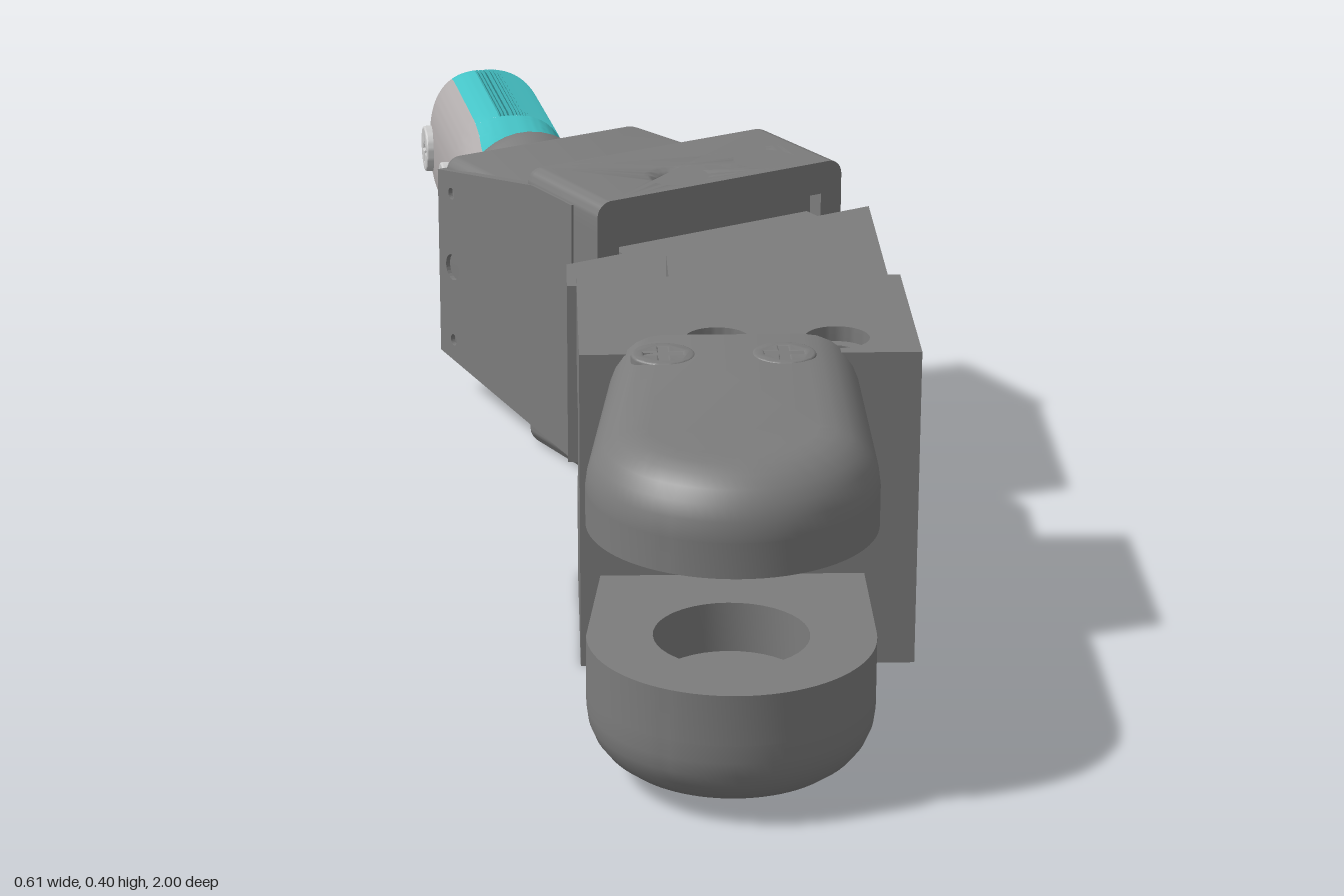
import * as THREE from 'three';
import { toCreasedNormals } from 'three/addons/utils/BufferGeometryUtils.js';
import { ParametricGeometry } from 'three/addons/geometries/ParametricGeometry.js';

const paint = (color) => new THREE.MeshStandardMaterial({ color });
const darkGrey = paint(0x7c7c7c);
const paleGrey = paint(0xb0abab);
const lightGrey = paint(0xcccccc);
const teal = paint(0x45c3c6);
const ribTeal = paint(0x3aa6a9);
const MID = 0.196; // height of the centre line

function add(parent, name, geo, mat = darkGrey) {
  const m = new THREE.Mesh(geo, mat);
  m.name = name;
  parent.add(m);
  return m;
}

// outline from [x, z] corners, rounded when r is given
function outline(pts, r = 0) {
  const p = pts.map(([x, z]) => new THREE.Vector2(x, -z));
  if (!r) return new THREE.Shape(p);
  const s = new THREE.Shape();
  p.forEach((c, i) => {
    const toward = (q) => c.clone().add(q.clone().sub(c).setLength(r));
    const a = toward(p[(i + p.length - 1) % p.length]), b = toward(p[(i + 1) % p.length]);
    if (i) s.lineTo(a.x, a.y);
    else s.moveTo(a.x, a.y);
    s.quadraticCurveTo(c.x, c.y, b.x, b.y);
  });
  return s;
}
const circle = (x, z, r) => new THREE.Shape().absarc(x, -z, r, 0, Math.PI * 2);

// horizontal slab between two heights; clip flattens any bevelled side that should stay square
function slab(shape, y0, y1, { holes = [], bevel = 0, clip = {} } = {}) {
  const s = shape.clone();
  s.holes = holes;
  const lo = clip.minY !== undefined ? y0 - 2 * bevel : y0;
  const hi = clip.maxY !== undefined ? y1 + 2 * bevel : y1;
  const g = new THREE.ExtrudeGeometry(s, {
    depth: hi - lo - 2 * bevel, curveSegments: 20, bevelEnabled: bevel > 0,
    bevelSize: bevel, bevelThickness: bevel, bevelOffset: -bevel, bevelSegments: 6,
  });
  g.rotateX(-Math.PI / 2).translate(0, lo + bevel, 0);
  const { minY = -9, maxY = 9, minZ = -9, maxZ = 9 } = clip;
  const p = g.attributes.position;
  for (let i = 0; i < p.count; i++) {
    p.setY(i, THREE.MathUtils.clamp(p.getY(i), minY, maxY));
    p.setZ(i, THREE.MathUtils.clamp(p.getZ(i), minZ, maxZ));
  }
  return toCreasedNormals(g, 0.6);
}

// round screw head with a cross recess, facing +y
function screw(name, r, mat) {
  const g = new THREE.Group();
  g.name = name;
  const a = r * 0.14, b = r * 0.6;
  const cross = outline([[-a, -b], [a, -b], [a, -a], [b, -a], [b, a], [a, a],
    [a, b], [-a, b], [-a, a], [-b, a], [-b, -a], [-a, -a]]);
  add(g, 'screwHead', slab(circle(0, 0, r), -0.012, 0.006, { holes: [cross], bevel: 0.003 }), mat);
  add(g, 'screwCore', new THREE.CylinderGeometry(r * 0.8, r * 0.8, 0.02, 20).translate(0, -0.014, 0), mat);
  return g;
}

class Helix extends THREE.Curve {
  getPoint(t, out = new THREE.Vector3()) {
    const a = t * 8.5 * Math.PI * 2;
    return out.set(0.03 * Math.cos(a), 0.03 * Math.sin(a), 0.4 - 0.29 * t);
  }
}

function buildClevis() {
  const g = new THREE.Group();
  g.name = 'clevis';
  const shape = new THREE.Shape().moveTo(-0.05, -0.48).lineTo(-0.082, -0.84);
  shape.absarc(0.075, -0.84, 0.157, Math.PI, Math.PI * 2).lineTo(0.232, -0.48);
  const pinHole = [circle(0.075, 0.84, 0.085)];
  const back = { minZ: 0.555 };
  add(g, 'lowerProng', slab(shape, 0.02, 0.105, { bevel: 0.065, clip: { ...back, maxY: 0.105 } }));
  add(g, 'lowerPinSeat', slab(shape, 0.105, 0.163, { holes: pinHole, clip: back }));
  add(g, 'upperPinSeat', slab(shape, 0.295, 0.335, { holes: pinHole, clip: back }));
  add(g, 'upperProng', slab(shape, 0.335, 0.405, { bevel: 0.065, clip: { ...back, minY: 0.335 } }));
  add(g, 'clevisWeb', slab(outline([[-0.055, 0.555], [0.232, 0.555], [0.232, 0.676], [-0.065, 0.676]]), 0.163, 0.295));
  for (const x of [0.008, 0.143]) {
    const top = screw('clevisScrew', 0.036, darkGrey), low = screw('clevisScrew', 0.036, darkGrey);
    top.position.set(x, 0.4, 0.618);
    low.position.set(x, 0.025, 0.618);
    low.rotation.x = Math.PI;
    g.add(top, low);
  }
  return g;
}

function buildFrontBlock() {
  const g = new THREE.Group();
  g.name = 'frontBlock';
  // plate with a round-ended tongue towards the back
  const plate = new THREE.Shape().moveTo(-0.085, -0.572).lineTo(0.302, -0.572).lineTo(0.302, -0.3).lineTo(0.187, -0.3);
  plate.lineTo(0.187, -0.22).absarc(0.106, -0.22, 0.081, 0, Math.PI).lineTo(0.025, -0.3).lineTo(-0.085, -0.3);
  const holes = (r) => [circle(0.073, 0.52, r), circle(0.21, 0.52, r)];
  const layers = [[0.005, 0.025, 0.037], [0.025, 0.134, 0.022], [0.257, 0.37, 0.022], [0.37, 0.388, 0.037]];
  for (const [y0, y1, r] of layers) add(g, 'blockPlate', slab(plate, y0, y1, { holes: holes(r) }));
  // solid part in front of the spring slot, and the tongue behind it
  add(g, 'blockCore', slab(outline([[-0.085, 0.4], [0.302, 0.4], [0.302, 0.572], [-0.085, 0.572]]), 0.134, 0.257, { holes: holes(0.022) }));
  const tongue = new THREE.Shape().moveTo(0.187, -0.29).lineTo(0.187, -0.22);
  tongue.absarc(0.106, -0.22, 0.081, 0, Math.PI).lineTo(0.025, -0.29);
  add(g, 'tongueCore', slab(tongue, 0.134, 0.257));
  add(g, 'boltPlug', new THREE.CylinderGeometry(0.022, 0.022, 0.3, 20).translate(0.073, MID, 0.52));
  return g;
}

function buildRearBody() {
  const g = new THREE.Group();
  g.name = 'rearBody';
  g.position.set(0.107, 0, -0.084);
  g.rotation.y = Math.PI / 6;
  // yoke plates with countersunk holes, above and below a core with a front pocket
  const yoke = outline([[-0.187, 0.06], [0.187, 0.06], [0.187, -0.19], [-0.187, -0.19]], 0.022);
  const holes = [circle(-0.038, -0.05, 0.022), circle(0.1, -0.05, 0.022)];
  add(g, 'yokeTop', slab(yoke, 0.345, 0.388, { holes, bevel: 0.02, clip: { minY: 0.345, maxZ: 0 } }));
  add(g, 'yokeBottom', slab(yoke, 0.005, 0.055, { holes, bevel: 0.02, clip: { maxY: 0.055, maxZ: 0 } }));
  const core = new THREE.Shape(); // x, -z
  core.moveTo(-0.187, 0).lineTo(-0.155, 0).lineTo(-0.155, 0.025).lineTo(0.155, 0.025).lineTo(0.155, 0);
  core.lineTo(0.187, 0).lineTo(0.187, 0.168).quadraticCurveTo(0.187, 0.19, 0.165, 0.19);
  core.lineTo(-0.165, 0.19).quadraticCurveTo(-0.187, 0.19, -0.187, 0.168);
  add(g, 'yokeCore', slab(core, 0.055, 0.345));
  add(g, 'pivotBlock', slab(outline([[-0.15, 0.01], [0.15, 0.01], [0.15, -0.04], [-0.15, -0.04]]), 0.08, 0.315));
  // narrower tapering housing
  const housing = outline([[-0.184, -0.1], [0.165, -0.1], [0.155, -0.21], [0.122, -0.417], [-0.184, -0.417]], 0.022);
  add(g, 'housing', slab(housing, 0.045, 0.345, { bevel: 0.022 }));
  // tapering side plate with bolt holes
  const side = new THREE.Shape([[0.06, 0.02], [0.417, 0.065], [0.417, 0.325], [0.16, 0.37], [0.06, 0.37]]
    .map(([v, y]) => new THREE.Vector2(v, y)));
  for (const [y, r] of [[0.195, 0.018], [0.3, 0.008], [0.09, 0.008]]) side.holes.push(circle(0.38, -y, r));
  const plate = new THREE.ExtrudeGeometry(side, { depth: 0.013, bevelEnabled: false });
  add(g, 'sidePlate', plate.rotateY(Math.PI / 2).translate(-0.19, 0, 0));
  return g;
}

// patch of fingertip skin between two angles and two lengths; ribs run lengthwise
const TIP = 0.455;
function fingerSkin(a0, a1, s0, s1, slices, ribs = 0) {
  const width = [[0, 0.094], [0.03, 0.092], [0.08, 0.086], [TIP, 0.086]];
  const height = [[0, 0.097], [0.05, 0.101], [0.12, 0.116], [TIP, 0.116]];
  const at = (table, s) => {
    const i = Math.max(1, table.findIndex(([k]) => k >= s));
    const [[p, a], [q, b]] = [table[i - 1], table[i]];
    return a + (b - a) * (s - p) / (q - p);
  };
  const pw = (c) => Math.sign(c) * Math.abs(c) ** 0.8;
  const geo = new ParametricGeometry((u, v, out) => {
    const a = a1 + (a0 - a1) * u;
    const s = Math.min(s1, s0 + (s1 - s0) * (1 - (1 - v) ** 1.8));
    const t = Math.max(0, (s - 0.335) / 0.12);
    const groove = ribs ? 1 - 0.022 * (0.5 + 0.5 * Math.cos(u * ribs * Math.PI * 2)) : 1;
    const k = Math.sqrt(Math.max(0, 1 - t * t)) * groove;
    out.set(at(width, s) * pw(Math.cos(a)) * k - 0.02 * t * t, at(height, s) * pw(Math.sin(a)) * k, -s);
  }, slices, 36);
  return toCreasedNormals(geo, 0.5);
}

function buildFinger() {
  const g = new THREE.Group();
  g.name = 'fingertip';
  g.position.set(-0.152, MID, -0.551);
  g.rotation.y = Math.PI / 20;
  const rim = 1.7, split = 2.1, band = 0.11;
  add(g, 'smoothBase', fingerSkin(-split, split, 0, band, 60), teal);
  add(g, 'ribbedPad', fingerSkin(-rim, rim, band, TIP, 160, 80), ribTeal);
  add(g, 'upperRim', fingerSkin(rim, split, band, TIP, 8), teal);
  add(g, 'lowerRim', fingerSkin(-split, -rim, band, TIP, 8), teal);
  add(g, 'backStrip', fingerSkin(split, Math.PI * 2 - split, 0, TIP, 32), paleGrey);
  // flared oval collar
  const profile = [[0.75, -0.22], [0.84, -0.147], [0.93, -0.07], [0.99, -0.045], [1, -0.03], [0.96, -0.012], [0.86, 0], [0, 0]];
  const collar = new THREE.LatheGeometry(profile.map(([r, y]) => new THREE.Vector2(r, y)), 40);
  collar.rotateX(-Math.PI / 2).scale(0.108, 0.13, 1).translate(0.006, 0, 0);
  add(g, 'collar', toCreasedNormals(collar, 0.7));
  for (const s of [0.155, 0.345]) {
    const b = screw('fingerScrew', 0.034, lightGrey);
    b.position.set(-0.09, 0, -s);
    b.rotation.z = Math.PI / 2;
    g.add(b);
  }
  return g;
}

export function createModel() {
  const model = new THREE.Group();
  model.name = 'jointedFinger';
  model.add(buildClevis(), buildFrontBlock(), buildRearBody(), buildFinger());
  // wedge-shaped middle block
  add(model, 'middleBlock', slab(outline([[-0.095, 0.118], [0.308, 0.118], [0.308, -0.2], [-0.095, 0.033]]), 0.08, 0.315));
  // pair of coil springs
  for (const x of [-0.028, 0.243]) {
    add(model, 'spring', new THREE.TubeGeometry(new Helix(), 200, 0.016, 8)).position.set(x, MID, 0);
  }
  return model;
}
